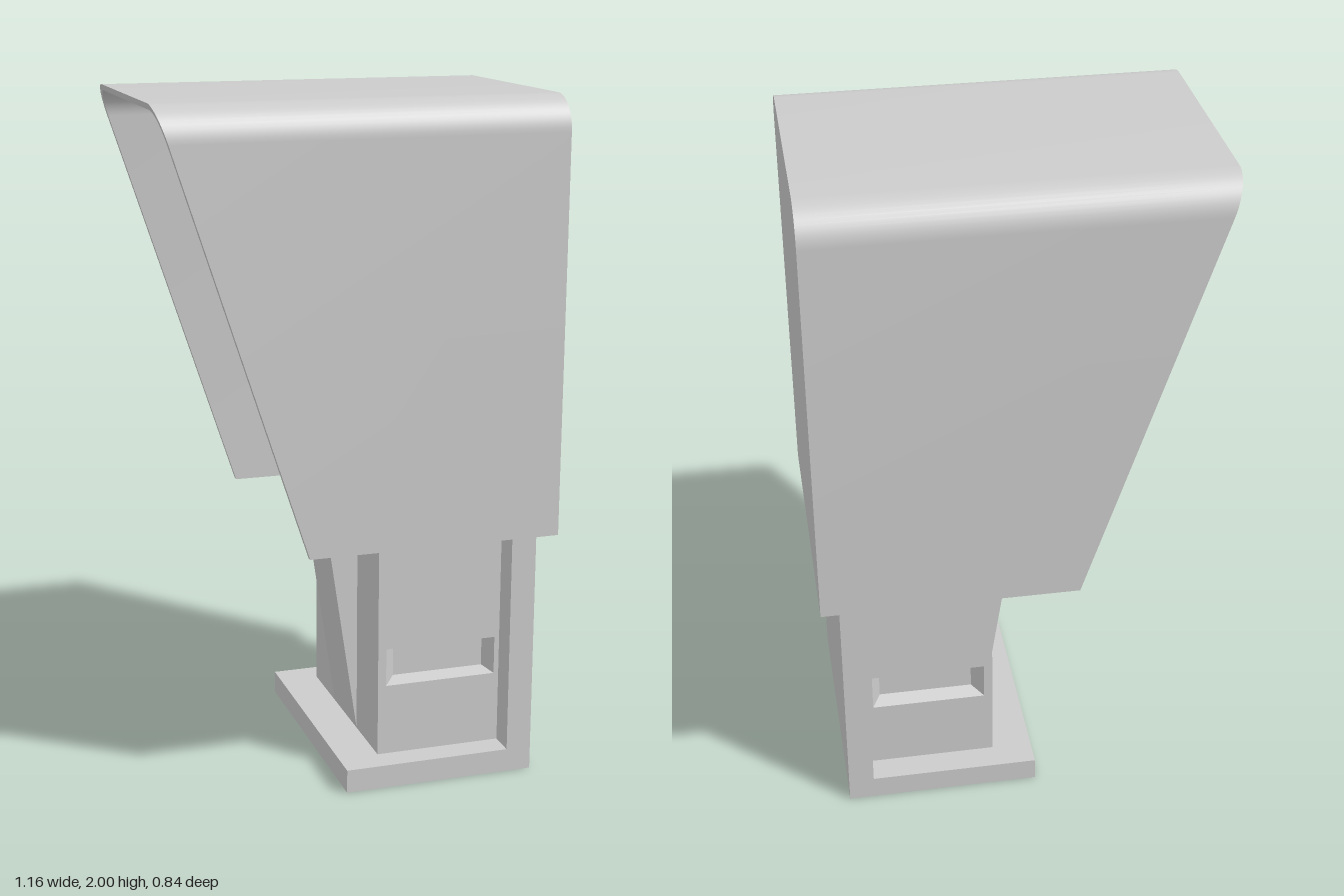
import * as THREE from 'three';
import { toCreasedNormals } from 'three/addons/utils/BufferGeometryUtils.js';

const grey = new THREE.MeshStandardMaterial({ color: 0xcccccc });
const greyDouble = new THREE.MeshStandardMaterial({ color: 0xcccccc, side: THREE.DoubleSide });

function add(parent, name, geometry, material = grey) {
  const mesh = new THREE.Mesh(geometry, material);
  mesh.name = name;
  parent.add(mesh);
  return mesh;
}

// Box given by its limits on each axis
function box(parent, name, [x0, x1], [y0, y1], [z0, z1]) {
  const mesh = add(parent, name, new THREE.BoxGeometry(x1 - x0, y1 - y0, z1 - z0));
  mesh.position.set((x0 + x1) / 2, (y0 + y1) / 2, (z0 + z1) / 2);
  return mesh;
}

const shapeOf = (points) => new THREE.Shape(points.map(([x, y]) => new THREE.Vector2(x, y)));
const rectangle = (x0, y0, x1, y1) => [[x0, y0], [x1, y0], [x1, y1], [x0, y1]];

// Side profile in x and y, extruded between two z values
function slab(shape, z0, z1) {
  return new THREE.ExtrudeGeometry(shape, { depth: z1 - z0, bevelEnabled: false }).translate(0, 0, z0);
}

// Arch outline as points, from bottom right over the top to bottom left
function archPoints(halfWidth, bottom, top, radius) {
  const points = [[halfWidth, bottom]];
  for (const side of [0, 1]) {
    for (let i = 0; i <= 12; i++) {
      const a = (side + i / 12) * Math.PI / 2;
      points.push([
        (side ? -1 : 1) * (halfWidth - radius) + radius * Math.cos(a),
        top - radius + radius * Math.sin(a),
      ]);
    }
  }
  points.push([-halfWidth, bottom]);
  return points;
}

// Extrude an outline along x, from start(y) to end
function alongX(shape, start, end) {
  const g = new THREE.ExtrudeGeometry(shape, { depth: 1, bevelEnabled: false });
  g.rotateY(Math.PI / 2);
  const p = g.attributes.position;
  for (let i = 0; i < p.count; i++) {
    const x0 = start(p.getY(i));
    p.setX(i, x0 + p.getX(i) * (end - x0));
  }
  return toCreasedNormals(g, 0.5);
}

function buildHood(root) {
  const hood = new THREE.Group();
  hood.name = 'hood';
  const outer = archPoints(0.42, 0.74, 2, 0.1);
  const inner = archPoints(0.402, 0.74, 1.982, 0.082);
  // Thin shell with a sloping open front
  const rim = (y) => -0.17 - (y - 0.74) * 0.41 / 1.26;
  add(hood, 'hoodShell', alongX(shapeOf([...outer, ...[...inner].reverse()]), rim, 0.58));
  add(hood, 'hoodBackWall', alongX(shapeOf(inner), () => 0.53, 0.58));
  root.add(hood);
}

function buildBody(root) {
  const body = new THREE.Group();
  body.name = 'body';
  box(body, 'base', [-0.05, 0.525], [0, 0.07], [-0.39, 0.39]);
  box(body, 'backPanel', [0.45, 0.525], [0.07, 1.75], [-0.39, 0.39]);

  // Pedestal and console share one side profile
  const profile = [
    [0.45, 0.07], [0.45, 1.75], [0.15, 1.75], [0.07, 1.7], [-0.08, 1.12],
    [-0.08, 1.08], [-0.04, 1.03], [-0.065, 0.86], [0.07, 0.86], [0.07, 0.07],
  ];
  add(body, 'core', slab(shapeOf(profile), -0.27, 0.27));

  // Side cladding with a bevelled recess
  const outer = rectangle(0.095, 0.285, 0.435, 0.4);
  const inner = rectangle(0.13, 0.3, 0.41, 0.388);
  const cladding = shapeOf(profile);
  cladding.holes.push(shapeOf(outer));
  for (const s of [1, -1]) {
    add(body, 'sideCladding', slab(cladding, s > 0 ? 0.27 : -0.31, s > 0 ? 0.31 : -0.27));
    const v = [];
    for (let i = 0; i < 4; i++) {
      const j = (i + 1) % 4;
      const a = [...outer[i], 0.31 * s], b = [...outer[j], 0.31 * s];
      const c = [...inner[j], 0.27 * s], d = [...inner[i], 0.27 * s];
      v.push(...(s > 0 ? [a, b, c, a, c, d] : [a, c, b, a, d, c]).flat());
    }
    const bevel = new THREE.BufferGeometry();
    bevel.setAttribute('position', new THREE.Float32BufferAttribute(v, 3));
    bevel.computeVertexNormals();
    add(body, 'recessBevel', bevel, greyDouble);
  }

  // Leaning wedge down the middle of the front
  add(body, 'frontWedge', slab(shapeOf([[0.07, 0.07], [0.07, 0.9], [-0.054, 0.9]]), -0.11, 0.11));
  root.add(body);
}

// Group whose local +z faces the open side, leaning back by tilt
function facingUser(parent, name, x, y, z, tilt) {
  const group = new THREE.Group();
  group.name = name;
  group.position.set(x, y, z);
  group.rotation.set(-tilt, -Math.PI / 2, 0, 'YXZ');
  parent.add(group);
  return group;
}

function buildControls(root) {
  // Screen bezel
  const screen = facingUser(root, 'screen', -0.005, 1.41, 0, 0.253);
  const frame = shapeOf(rectangle(-0.31, -0.3, 0.31, 0.3));
  frame.holes.push(shapeOf(rectangle(-0.26, -0.25, 0.26, 0.25)));
  add(screen, 'screenBezel', slab(frame, -0.01, 0.04));

  // Keypad with three columns and four rows
  const keypad = facingUser(root, 'keypad', -0.053, 0.94, 0.2, 0.15);
  box(keypad, 'keypadPlate', [-0.095, 0.095], [-0.08, 0.08], [-0.01, 0.015]);
  for (let row = 0; row < 4; row++) {
    for (let col = 0; col < 3; col++) {
      const x = (col - 1) * 0.06, y = (row - 1.5) * 0.038;
      box(keypad, 'key', [x - 0.023, x + 0.023], [y - 0.014, y + 0.014], [0.01, 0.027]);
    }
  }
}

export function createModel() {
  const root = new THREE.Group();
  root.name = 'hoodedTerminal';
  buildHood(root);
  buildBody(root);
  buildControls(root);
  return root;
}
